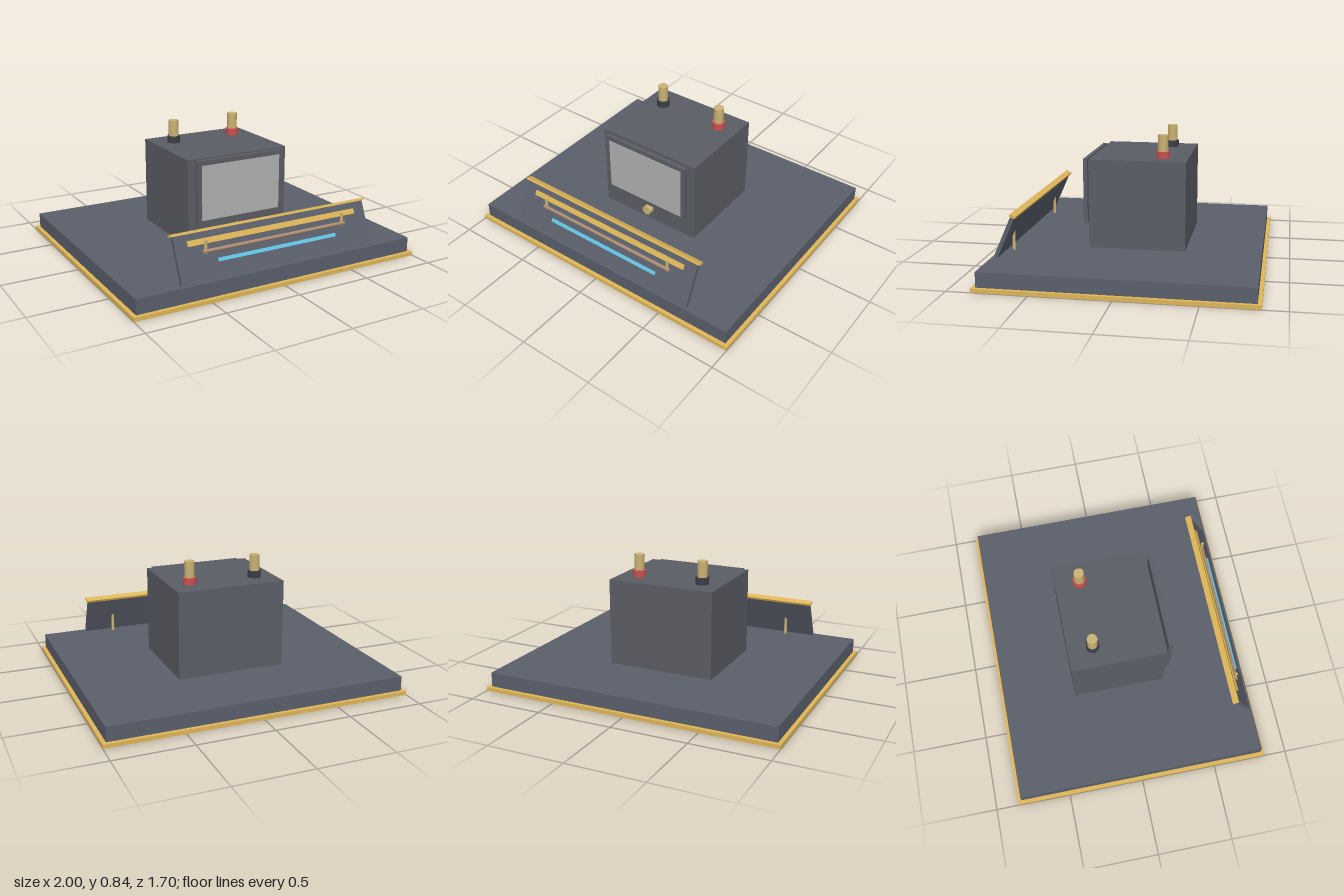
import * as THREE from 'three';

const mat = (color) => new THREE.MeshStandardMaterial({ color });

export function createModel() {
  const model = new THREE.Group();
  const slate = mat(0x5a5f6b), casing = mat(0x5a5d64), dark = mat(0x3c3e44), gold = mat(0xdfb658),
    brass = mat(0xc9b273), copper = mat(0xac8c72), cyan = mat(0x62c6e6), red = mat(0xcc4f4f), grey = mat(0xb0b0b0);

  function add(parent, name, geometry, material, x, y, z) {
    const mesh = new THREE.Mesh(geometry, material);
    mesh.name = name;
    mesh.position.set(x, y, z);
    parent.add(mesh);
    return mesh;
  }
  const box = (parent, name, material, w, h, d, x, y, z) =>
    add(parent, name, new THREE.BoxGeometry(w, h, d), material, x, y, z);
  const rod = (parent, name, material, r, h, x, y, z) =>
    add(parent, name, new THREE.CylinderGeometry(r, r, h, 24), material, x, y, z);

  // Plinth with a gold border around its foot
  box(model, 'baseTrim', gold, 2, 0.025, 1.7, 0, 0.0125, 0);
  box(model, 'base', slate, 1.95, 0.121, 1.65, 0, 0.0605, 0);

  // Instrument casing
  box(model, 'casing', casing, 0.72, 0.574, 0.62, 0, 0.408, -0.032);

  // Two terminals on top, dark on the right and red on the left
  for (const side of [-1, 1]) {
    const terminal = new THREE.Group();
    terminal.name = side > 0 ? 'leftTerminal' : 'rightTerminal';
    terminal.position.set(side * 0.225, 0.695, -0.18);
    rod(terminal, 'collar', side > 0 ? red : dark, 0.043, 0.045, 0, 0.0225, 0);
    rod(terminal, 'post', brass, 0.033, 0.105, 0, 0.0975, 0);
    model.add(terminal);
  }

  // Framed window standing just off the casing
  box(model, 'windowFrame', casing, 0.63, 0.42, 0.027, 0, 0.48, 0.309);
  box(model, 'windowPane', grey, 0.57, 0.36, 0.004, 0, 0.48, 0.323);

  // Dial behind the window: pivot, needle and an arc of ticks
  const pivot = rod(model, 'needlePivot', brass, 0.02, 0.015, 0, 0.365, 0.286);
  pivot.rotation.x = Math.PI / 2;
  box(model, 'needle', dark, 0.008, 0.13, 0.004, 0, 0.435, 0.281);
  for (let i = 0; i < 11; i++) {
    const a = (i - 5) * 0.12;
    const tick = box(model, 'dialTick', dark, 0.005, 0.03, 0.006, Math.sin(a) * 0.208, 0.365 + Math.cos(a) * 0.208, 0.281);
    tick.rotation.z = -a;
  }

  // Adjusting knob under the window
  const knob = rod(model, 'knob', brass, 0.032, 0.037, 0, 0.203, 0.296);
  knob.rotation.x = Math.PI / 2;

  // Sloping front plate with its decorative strips
  const plate = new THREE.Group();
  plate.name = 'frontPlate';
  plate.position.set(0, 0.253, 0.74);
  plate.rotation.x = -0.418;
  box(plate, 'plate', slate, 1.36, 0.285, 0.026, 0, 0, 0);
  box(plate, 'capRail', gold, 1.385, 0.016, 0.04, 0, 0.15, 0);
  box(plate, 'goldStrip', gold, 1.195, 0.034, 0.008, 0, 0.086, 0.015);
  box(plate, 'cyanStrip', cyan, 0.84, 0.022, 0.01, 0, -0.037, 0.016);
  model.add(plate);

  // Copper rod carried by two upright pins through the plate
  const crossRod = rod(model, 'crossRod', copper, 0.011, 1.02, 0, 0.281, 0.742);
  crossRod.rotation.z = Math.PI / 2;
  for (const side of [-1, 1]) rod(model, 'pin', brass, 0.01, 0.23, side * 0.488, 0.235, 0.739);

  return model;
}
